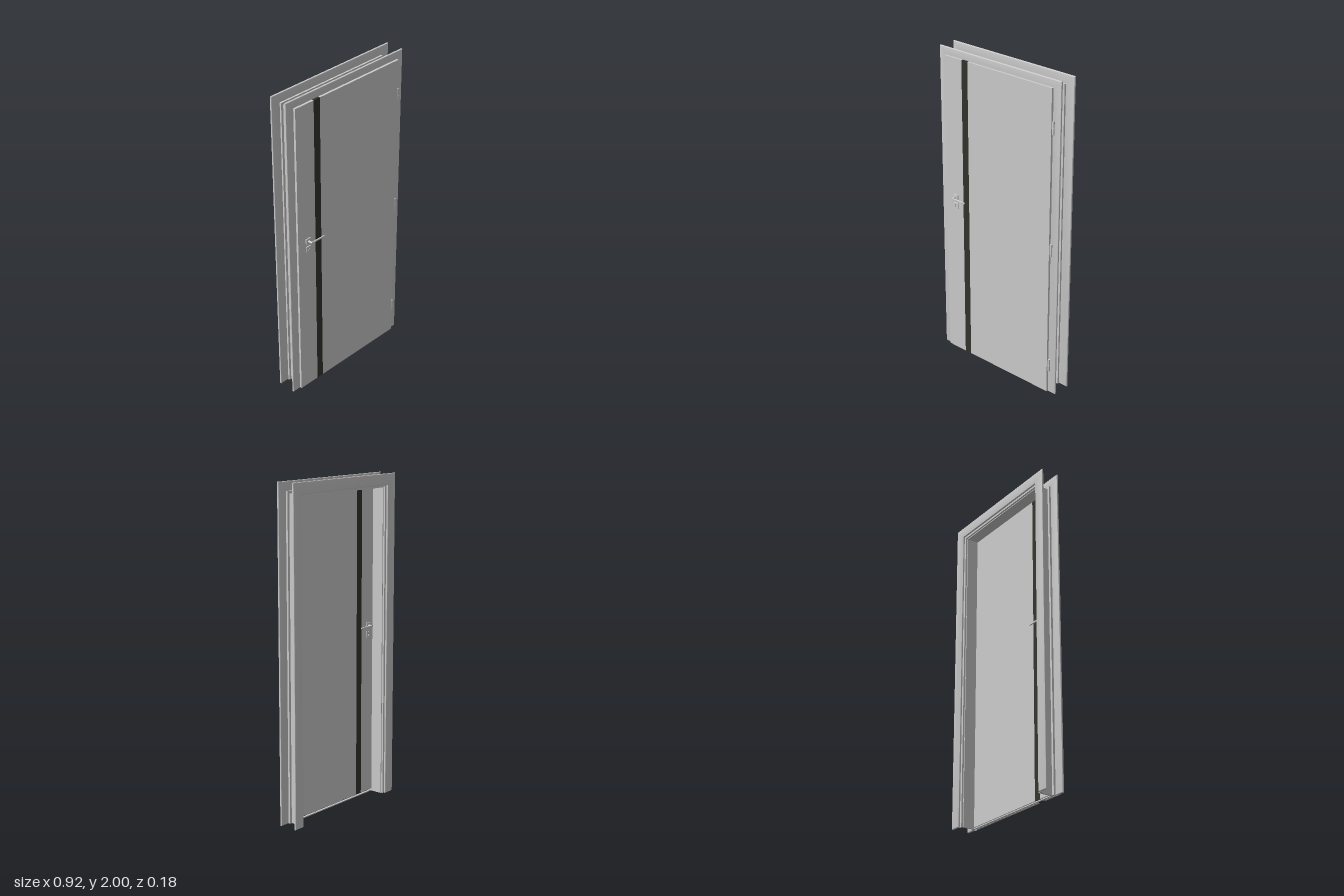
import * as THREE from 'three';
import { RoundedBoxGeometry } from 'three/addons/geometries/RoundedBoxGeometry.js';
import { toCreasedNormals } from 'three/addons/utils/BufferGeometryUtils.js';

const grey = new THREE.MeshStandardMaterial({ color: 0xcccccc });
const dark = new THREE.MeshStandardMaterial({ color: 0x33332c });

export function createModel() {
  const door = new THREE.Group();
  door.name = 'door';

  const add = (parent, name, geometry, x, y, z, material = grey) => {
    const mesh = new THREE.Mesh(geometry, material);
    mesh.name = name;
    mesh.position.set(x, y, z);
    parent.add(mesh);
    return mesh;
  };
  // Box given by its limits
  const box = (parent, name, [x0, x1], [y0, y1], [z0, z1], material) =>
    add(parent, name, new THREE.BoxGeometry(x1 - x0, y1 - y0, z1 - z0),
      (x0 + x1) / 2, (y0 + y1) / 2, (z0 + z1) / 2, material);

  // Three-sided surround, open at the floor
  const surround = (name, outX, outTop, inX, inTop, z0, z1, bevel = 0) => {
    const o = outX - bevel, i = inX + bevel, b = bevel;
    const shape = new THREE.Shape([
      [-o, b], [-i, b], [-i, inTop + b], [i, inTop + b],
      [i, b], [o, b], [o, outTop - b], [-o, outTop - b],
    ].map(([x, y]) => new THREE.Vector2(x, y)));
    const geometry = new THREE.ExtrudeGeometry(shape, {
      depth: z1 - z0 - 2 * b, bevelEnabled: b > 0,
      bevelSize: b, bevelThickness: b, bevelSegments: 3,
    });
    add(door, name, toCreasedNormals(geometry, 0.6), 0, 0, z0 + b);
  };

  // Frame, from back to front
  surround('backCasing', 0.46, 2, 0.39, 1.932, -0.09, -0.077, 0.004);
  surround('backTongue', 0.4, 1.945, 0.378, 1.922, -0.077, -0.066);
  surround('jamb', 0.385, 1.93, 0.372, 1.917, -0.066, 0.008);
  surround('frontTongue', 0.4, 1.945, 0.385, 1.93, 0.008, 0.02);
  surround('frontCasing', 0.46, 2, 0.39, 1.932, 0.02, 0.033, 0.004);
  surround('seal', 0.4, 1.945, 0.385, 1.93, 0.033, 0.036);
  box(door, 'threshold', [-0.4, 0.4], [0, 0.006], [0.008, 0.02]);

  // Rebated leaf split by a dark full-height inlay
  const leaf = new THREE.Group();
  leaf.name = 'leaf';
  door.add(leaf);
  const inlay = [-0.27, -0.223];
  for (const [name, half, y, z] of [
    ['leafCore', 0.383, [0.012, 1.928], [0.012, 0.036]],
    ['leafFace', 0.408, [0.008, 1.955], [0.036, 0.05]],
  ]) {
    box(leaf, name + 'LockSide', [-half, inlay[0]], y, z);
    box(leaf, name + 'Inlay', inlay, y, z, dark);
    box(leaf, name + 'HingeSide', [inlay[1], half], y, z);
  }

  // Handle set, built outward along +z and mirrored for the back
  const keyhole = new THREE.Path();
  keyhole.absarc(0, 0.003, 0.005, -0.9, Math.PI + 0.9, false);
  keyhole.lineTo(-0.003, -0.01);
  keyhole.lineTo(0.003, -0.01);
  for (const [name, z, side] of [['frontHandle', 0.05, 1], ['backHandle', 0.012, -1]]) {
    const set = new THREE.Group();
    set.name = name;
    set.position.set(-0.331, 0, z);
    const place = (part, geometry, x, y, depth) => {
      const mesh = add(set, part, geometry, x, y, side * depth);
      if (side < 0) mesh.rotation.y = Math.PI;
      return mesh;
    };
    place('rose', new RoundedBoxGeometry(0.038, 0.038, 0.007, 2, 0.002), 0, 1.073, 0.0035);
    const plate = new THREE.Shape([[-1, -1], [1, -1], [1, 1], [-1, 1]]
      .map(([x, y]) => new THREE.Vector2(x * 0.018, y * 0.018)));
    plate.holes.push(keyhole);
    place('keyPlate', new THREE.ExtrudeGeometry(plate, { depth: 0.006, bevelEnabled: false }), 0, 1.018, 0);
    place('keySlot', new THREE.BoxGeometry(0.012, 0.022, 0.001), 0, 1.018, 0.001).material = dark;
    const stem = new THREE.CylinderGeometry(0.0065, 0.0065, 0.03, 20).rotateX(Math.PI / 2);
    place('stem', stem, 0, 1.073, 0.021);
    place('lever', new RoundedBoxGeometry(0.108, 0.011, 0.008, 3, 0.003), 0.0475, 1.073, 0.032);
    door.add(set);
  }

  // Hinges: two barrels with a thin joint, and a leaf fixing
  for (const y of [0.195, 0.972, 1.725]) {
    const hinge = new THREE.Group();
    hinge.name = 'hinge';
    hinge.position.set(0.417, y, 0.042);
    for (const s of [-1, 1]) {
      add(hinge, 'barrel', new THREE.CylinderGeometry(0.0065, 0.0065, 0.039, 20), 0, s * 0.0205, 0);
    }
    add(hinge, 'pin', new THREE.CylinderGeometry(0.005, 0.005, 0.078, 16), 0, 0, 0);
    add(hinge, 'fixing', new THREE.BoxGeometry(0.012, 0.06, 0.004), -0.008, 0, 0);
    door.add(hinge);
  }
  return door;
}
